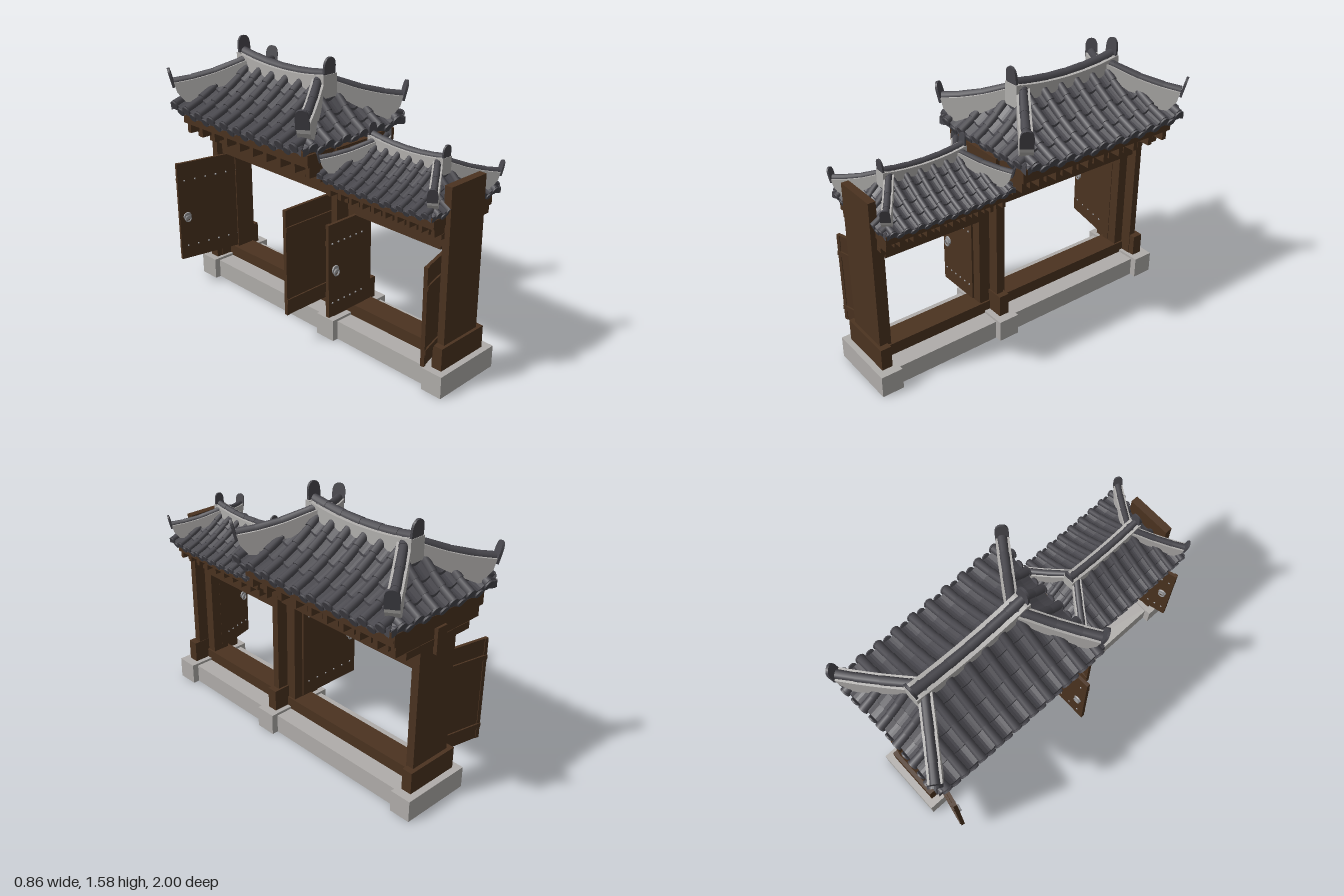
import * as THREE from 'three';
import { mergeGeometries } from 'three/addons/utils/BufferGeometryUtils.js';

const mat = (name, color, extra = {}) => new THREE.MeshStandardMaterial({ name, color, ...extra });
const V = (x, y, z = 0) => new THREE.Vector3(x, y, z);

export function createModel() {
  const wood = mat('brown wood', 0x4b3320);
  const stone = mat('pale stone', 0xb0adaa);
  const plaster = mat('grey plaster', 0xb2b0ae);
  const tile = mat('charcoal tile', 0x48474d, { side: THREE.DoubleSide });
  const metal = mat('grey metal', 0x9c9c9e);

  const root = new THREE.Group();
  root.name = 'roofedGate';

  const add = (parent, name, geo, m) => {
    const mesh = new THREE.Mesh(geo, m);
    mesh.name = name;
    parent.add(mesh);
    return mesh;
  };
  // box given by its limits on each axis
  const box = (parent, name, m, x0, x1, y0, y1, z0, z1) => {
    const b = add(parent, name, new THREE.BoxGeometry(x1 - x0, y1 - y0, z1 - z0), m);
    b.position.set((x0 + x1) / 2, (y0 + y1) / 2, (z0 + z1) / 2);
    return b;
  };
  // tapered rod from a to b
  const rodGeo = (a, b, r0, r1, sides = 10) => {
    const d = b.clone().sub(a);
    const g = new THREE.CylinderGeometry(r1, r0, d.length(), sides);
    g.applyQuaternion(new THREE.Quaternion().setFromUnitVectors(V(0, 1), d.normalize()));
    return g.translate((a.x + b.x) / 2, (a.y + b.y) / 2, (a.z + b.z) / 2);
  };
  const slab = (points, depth) =>
    new THREE.ExtrudeGeometry(new THREE.Shape(points), { depth, bevelEnabled: false }).translate(0, 0, -depth / 2);

  // ---- stone footing, posts and their bases
  box(root, 'footing', stone, -0.18, 0.18, 0, 0.115, -0.95, 0.95);
  for (const [pad, base, post] of [[0.935, 0.932, 0.925], [0.147, 0.143, 0.145], [-0.935, -0.928, -0.914]]) {
    box(root, 'footingPad', stone, -0.217, 0.22, 0, 0.13, pad - 0.065, pad + 0.065);
    box(root, 'postBase', wood, -0.175, 0.167, 0.13, 0.262, base - 0.032, base + 0.032);
    box(root, 'post', wood, -0.14, 0.13, 0.13, 1.14, post - 0.022, post + 0.022);
  }

  // ---- door frames: sill, jambs and header
  for (const [z0, z1, a, b, top] of [[0.165, 0.91, 0.237, 0.84, 0.75], [-0.915, 0.13, -0.83, 0.058, 0.832]]) {
    box(root, 'sill', wood, -0.07, 0.07, 0.11, 0.187, z0, z1);
    box(root, 'jamb', wood, -0.05, 0.06, 0.11, top + 0.06, z0, a);
    box(root, 'jamb', wood, -0.05, 0.06, 0.11, top + 0.06, b, z1);
    box(root, 'header', wood, -0.07, 0.07, top, top + 0.06, a, b);
  }

  // ---- open door leaves; face is the z side with handle and studs
  const door = (w, top, z, angle, face) => {
    const g = new THREE.Group();
    g.name = 'doorLeaf';
    g.position.z = z;
    g.rotation.y = angle;
    root.add(g);
    box(g, 'doorPanel', wood, -w, 0, 0.195, top, -0.009, 0.009);
    const back = (name, x0, x1, y0, y1, d) =>
      box(g, name, wood, x0, x1, y0, y1, Math.min(-face * 0.005, -face * d), Math.max(-face * 0.005, -face * d));
    for (const y of [0.265, top - 0.128]) back('doorRail', -w, 0, y, y + 0.028, 0.018);
    back('doorStile', -w, -w + 0.022, 0.195, top, 0.013);
    const studs = [];
    for (const y of [0.28, top - 0.115])
      for (let i = 0; i < 6; i++)
        studs.push(new THREE.SphereGeometry(0.006, 8, 6).translate(-w * (0.1 + 0.16 * i), y, face * 0.009));
    add(g, 'doorStuds', mergeGeometries(studs), metal);
    const hx = -w + 0.05, hy = 0.48;
    add(g, 'handlePlate', rodGeo(V(hx, hy, face * 0.008), V(hx, hy, face * 0.016), 0.027, 0.024, 14), metal);
    add(g, 'handleRing', new THREE.TorusGeometry(0.018, 0.005, 6, 14), metal).position.set(hx, hy - 0.014, face * 0.021);
  };
  door(0.295, 0.757, 0.848, 0.26, -1);
  door(0.285, 0.757, 0.24, 0, 1);
  door(0.43, 0.832, 0.055, 0, -1);
  door(0.44, 0.832, -0.836, -0.2, 1);

  // ---- roofs (y = 0 at the eave)
  const EX = 0.395, EZ = 0.57, APEX = 0.29, ROWS = 4;
  const surf = t => 0.02 + 0.25 * (0.65 * t + 0.35 * t * t);

  // one tiled slope, facing +z before it is turned; bow draws the middle of the eave inward
  const slope = (parent, name, half, D, run, tmax, n, gap, bow, turn) => {
    const P = (u, t, h) => {
      const e = Math.abs(u / half);
      return V(u, surf(t) + h + 0.025 * e ** 3 * (1 - t), D - run * t - bow * (1 - e * e) * (1 - t));
    };
    // pan tiles: a stepped sheet that dips between the rolls
    const steps = [[-0.02, -0.025]];
    for (let k = 0; k < ROWS; k++) steps.push([k / ROWS - 0.02, 0.014], [(k + 1) / ROWS - 0.02, 0]);
    steps.push([1, 0]);
    const cols = n * 8, pos = [], idx = [];
    for (let i = 0; i <= cols; i++) {
      const u = (i / cols * 2 - 1) * half;
      const dip = 0.01 * Math.cos(2 * Math.PI * (u / gap + 0.5));
      for (const [t, h] of steps) pos.push(...P(u, Math.min(t, tmax(u)), h + dip).toArray());
    }
    const m = steps.length;
    for (let i = 0; i < cols; i++)
      for (let j = 0; j < m - 1; j++) {
        const a = i * m + j;
        idx.push(a, a + m, a + 1, a + 1, a + m, a + m + 1);
      }
    let sheet = new THREE.BufferGeometry();
    sheet.setAttribute('position', new THREE.Float32BufferAttribute(pos, 3));
    sheet.setIndex(idx);
    sheet = sheet.toNonIndexed();
    sheet.computeVertexNormals();
    add(parent, name + 'PanTiles', sheet, tile).rotation.y = turn;
    // roll tiles, each overlapping the one above, with a round end at the eave
    const rolls = [];
    for (let i = 0; i < n; i++) {
      const u = (i - (n - 1) / 2) * gap;
      for (let k = 0; k < ROWS; k++) {
        const t0 = k ? k / ROWS : -0.03, t1 = Math.min((k + 1) / ROWS + 0.03, tmax(u));
        if (t1 - t0 < 0.04) break;
        rolls.push(rodGeo(P(u, t0, 0.02), P(u, t1, 0.014), 0.026, 0.023));
      }
      const e = P(u, -0.03, 0.014);
      rolls.push(rodGeo(e, e.clone().add(V(0, -0.004, 0.009)), 0.03, 0.03, 12));
      // hanging drip tile between two rolls
      if (i < n - 1) {
        const d = P(u + gap / 2, -0.025, -0.01);
        rolls.push(rodGeo(d, d.clone().add(V(0, -0.004, 0.008)), 0.027, 0.027, 12));
      }
    }
    add(parent, name + 'RollTiles', mergeGeometries(rolls), tile).rotation.y = turn;
  };

  // rounded upright end tile, facing +x
  const endTile = (parent, w, h, x, y, lean) => {
    const s = new THREE.Shape();
    s.moveTo(-w / 2, 0);
    s.lineTo(w / 2, 0);
    s.lineTo(w / 2, h - w * 0.75);
    s.quadraticCurveTo(w / 2, h, 0, h);
    s.quadraticCurveTo(-w / 2, h, -w / 2, h - w * 0.75);
    const g = new THREE.ExtrudeGeometry(s, { depth: 0.014, bevelEnabled: false, curveSegments: 8 }).rotateY(Math.PI / 2);
    const e = add(parent, 'endTile', g, tile);
    e.position.set(x, y, 0);
    e.rotation.z = -lean;
  };
  // overlapping round tiles laid along a curve
  const capTiles = (parent, curve, n, r) => {
    const list = [];
    for (let i = 0; i < n; i++)
      list.push(rodGeo(curve.getPoint((i + 1) / n), curve.getPoint(Math.max(0, i / n - 0.01)), r, r * 0.9, 12));
    add(parent, 'capTiles', mergeGeometries(list), tile);
  };

  const roof = (name, y, z, scale) => {
    const g = new THREE.Group();
    g.name = name;
    g.position.set(0, y, z);
    g.scale.setScalar(scale);
    root.add(g);

    // timber: lintel, stacked rafters, eave boards
    box(g, 'lintel', wood, -0.1, 0.1, -0.32, -0.25, -0.525, 0.535);
    box(g, 'upperLintel', wood, -0.12, 0.12, -0.25, -0.187, -0.53, 0.54);
    for (let i = 0; i < 10; i++) {
      const c = (i - 4.5) * 0.116;
      box(g, 'lowerBracket', wood, -0.24, 0.24, -0.187, -0.145, c - 0.018, c + 0.018);
      box(g, 'rafter', wood, -0.315, 0.315, -0.145, -0.04, c - 0.015, c + 0.015);
    }
    box(g, 'eaveDeck', wood, -0.335, 0.335, -0.045, -0.005, -0.53, 0.53);
    for (const s of [-1, 1]) {
      box(g, 'eaveBoard', wood, s * 0.32 - 0.016, s * 0.32 + 0.016, -0.08, -0.01, -0.54, 0.54);
      box(g, 'eaveEndBoard', wood, -0.335, 0.335, -0.08, -0.01, s * 0.53 - 0.015, s * 0.53 + 0.015);
      box(g, 'beamEnd', wood, -0.035, 0.035, -0.23, -0.08, s * 0.53 - 0.03, s * 0.53 + 0.02);
    }

    // four tiled slopes
    const run = EZ - APEX;
    for (const s of [0, 1]) {
      slope(g, 'side', EZ, EX, EX, u => Math.min(1, (EZ - Math.abs(u)) / run), 10, 0.116, 0, Math.PI * (s + 0.5));
      slope(g, 'end', EX, EZ, run, u => 1 - Math.abs(u) / EX, 6, 0.13, 0.022, Math.PI * s);
    }

    // hip ridges: plaster wall, cap tiles and end tile
    const L = Math.hypot(EX, run);
    for (const sx of [-1, 1])
      for (const sz of [-1, 1]) {
        const hip = new THREE.Group();
        hip.name = 'hipRidge';
        hip.position.z = sz * APEX;
        hip.rotation.y = Math.atan2(-sz * run, sx * EX);
        g.add(hip);
        const curve = new THREE.CatmullRomCurve3([V(0, 0.31), V(0.07, 0.285), V(0.22, 0.23), V(0.36, 0.195), V(L - 0.02, 0.178)]);
        const under = [0.8, 0.6, 0.4, 0.2, 0].map(s => V(s * L, surf(1 - s) - 0.012));
        add(hip, 'hipWall', slab([...curve.getPoints(12), V(L - 0.035, 0.12), ...under], 0.074), plaster);
        capTiles(hip, curve, 4, 0.026);
        endTile(hip, 0.075, 0.115, L - 0.025, 0.152, 0.25);
      }

    // main ridge
    const ridge = new THREE.Group();
    ridge.name = 'mainRidge';
    ridge.rotation.y = Math.PI / 2;
    g.add(ridge);
    const top = new THREE.CatmullRomCurve3([V(-0.36, 0.33), V(-0.2, 0.307), V(0, 0.297), V(0.2, 0.307), V(0.36, 0.33)]);
    add(ridge, 'ridgeWall', slab([...top.getPoints(16), V(0.345, 0.19), V(-0.345, 0.19)], 0.1), plaster);
    capTiles(ridge, top, 6, 0.029);
    for (const s of [0, 1]) {
      const end = new THREE.Group();
      end.rotation.y = Math.PI * s;
      end.name = 'ridgeEnd';
      ridge.add(end);
      endTile(end, 0.085, 0.115, 0.352, 0.312, 0.08);
      box(end, 'ridgeEndBlock', plaster, 0.34, 0.371, 0.2, 0.33, -0.05, 0.05);
    }
  };
  roof('largeRoof', 1.15, -0.4, 1);
  roof('smallRoof', 0.99, 0.543, 0.69);
  return root;
}
